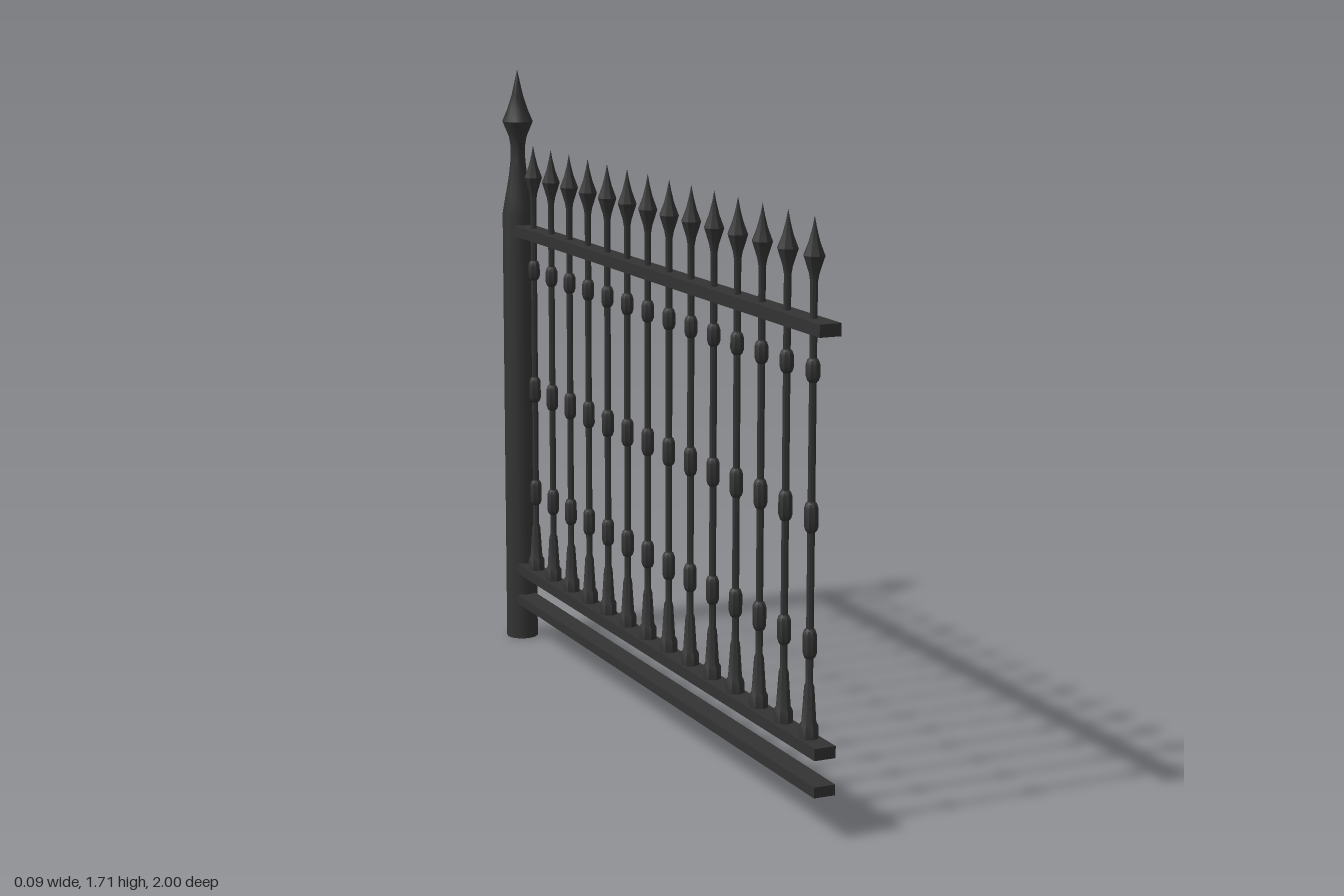
import * as THREE from 'three';
import { toCreasedNormals } from 'three/addons/utils/BufferGeometryUtils.js';

const iron = new THREE.MeshStandardMaterial({ color: 0x333333 });
iron.name = 'dark iron';

// Turned part from [radius, height] pairs
function turned(points, sides, crease) {
  const profile = points.map(([r, y]) => new THREE.Vector2(r, y));
  return toCreasedNormals(new THREE.LatheGeometry(profile, sides), crease);
}

export function createModel() {
  const fence = new THREE.Group();
  fence.name = 'fencePanel';
  const add = (name, geometry, x, y, z) => {
    const mesh = new THREE.Mesh(geometry, iron);
    mesh.name = name;
    mesh.position.set(x, y, z);
    fence.add(mesh);
  };

  // End post with spearhead finial
  add('post', turned([
    [0, 0], [0.047, 0], [0.047, 1.285], [0.037, 1.34], [0.028, 1.39], [0.022, 1.44],
    [0.021, 1.48], [0.026, 1.51], [0.045, 1.555], [0.03, 1.59], [0.017, 1.63],
    [0.009, 1.665], [0, 1.705],
  ], 12, 0.6), 0, 0, -0.953);

  // Horizontal rails: [name, bottom, top]
  for (const [name, y0, y1] of [
    ['topRail', 1.223, 1.254], ['lowerRail', 0.203, 0.233], ['bottomRail', 0.11, 0.137],
  ]) {
    add(name, new THREE.BoxGeometry(0.057, y1 - y0, 1.93), 0, (y0 + y1) / 2, 0.035);
  }

  // Balusters: flared foot, three collars and a spearhead
  const rod = 0.0095;
  const profile = [
    [0, 0.225], [0.025, 0.225], [0.025, 0.262], [0.019, 0.272], [0.013, 0.36], [rod, 0.37],
  ];
  for (const [y0, y1] of [[0.435, 0.5], [0.745, 0.81], [1.107, 1.155]]) {
    profile.push([rod, y0 - 0.005], [0.0145, y0], [0.018, y0 + 0.01],
      [0.018, y1 - 0.01], [0.0145, y1], [rod, y1 + 0.005]);
  }
  profile.push([rod, 1.34], [0.013, 1.36], [0.027, 1.402], [0.014, 1.435], [0.006, 1.465], [0, 1.495]);
  const baluster = turned(profile, 8, 0.6);
  for (let i = 0; i < 14; i++) add('baluster', baluster, 0, 0, 0.915 - i * 0.1345);

  return fence;
}
